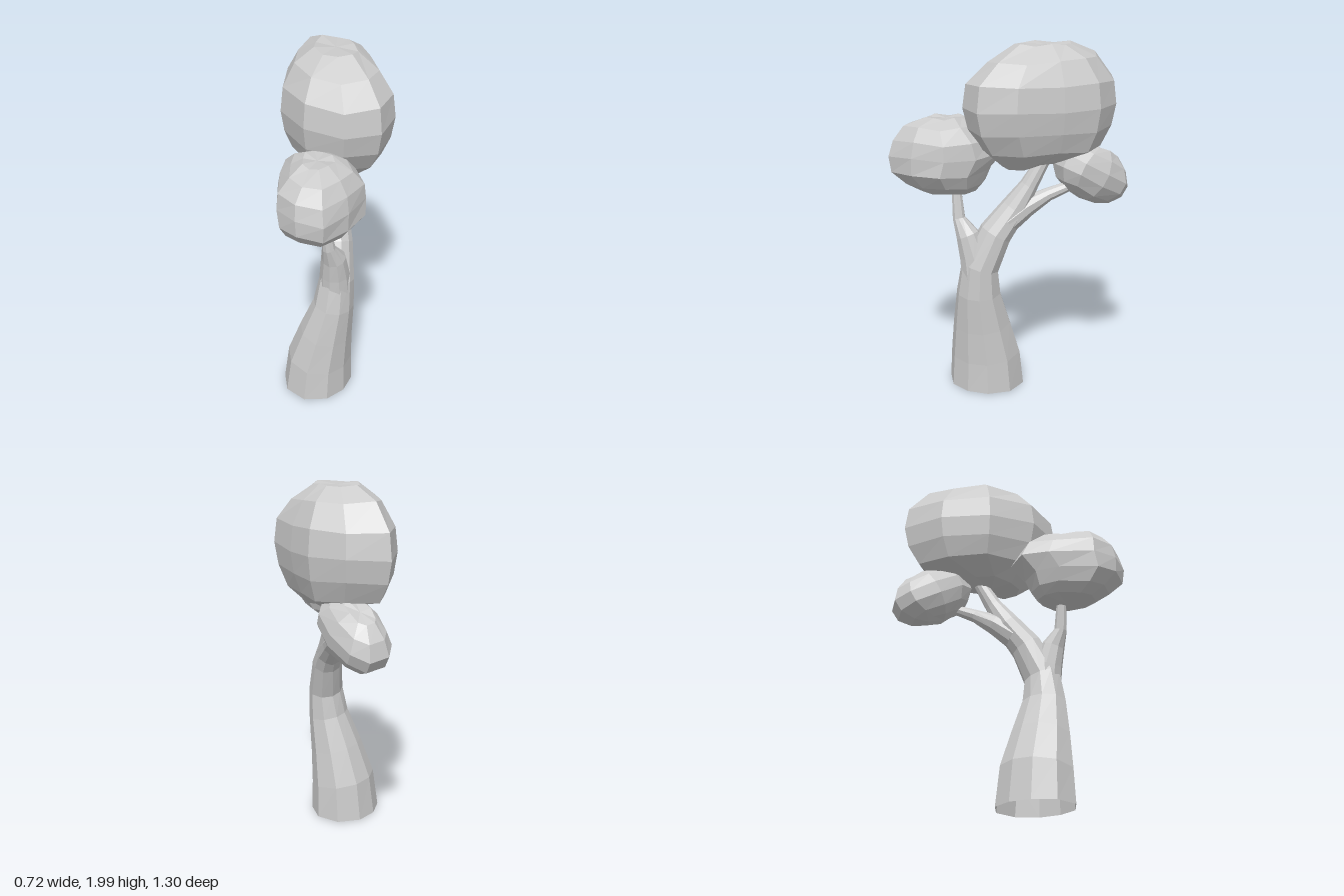
import * as THREE from 'three';

const SIDES = 10;

// Skin a stack of equal-length rings (bottom to top, counter-clockwise from above)
function loft(name, rings, capped) {
  const pos = [], idx = [], n = rings[0].length;
  rings.forEach(ring => ring.forEach(p => pos.push(p.x, p.y, p.z)));
  for (let r = 0; r < rings.length - 1; r++) {
    for (let i = 0; i < n; i++) {
      const a = r * n + i, b = r * n + (i + 1) % n;
      idx.push(a, b, b + n, a, b + n, a + n);
    }
  }
  if (capped) {
    [0, rings.length - 1].forEach((r, end) => {
      const c = new THREE.Vector3();
      rings[r].forEach(p => c.addScaledVector(p, 1 / n));
      const k = pos.length / 3;
      pos.push(c.x, c.y + (end ? -0.005 : -0.015), c.z);
      for (let i = 0; i < n; i++) {
        const a = r * n + i, b = r * n + (i + 1) % n;
        if (end) idx.push(k, a, b); else idx.push(k, b, a);
      }
    });
  }
  const geo = new THREE.BufferGeometry();
  geo.setAttribute('position', new THREE.Float32BufferAttribute(pos, 3));
  geo.setIndex(idx);
  geo.computeVertexNormals();
  const mesh = new THREE.Mesh(geo, new THREE.MeshStandardMaterial({
    color: 0xcccccc, flatShading: true, side: THREE.DoubleSide,
  }));
  mesh.name = name;
  return mesh;
}

// Tapered limb through [x, y, z, radius] stations, rings square to the path;
// skew stretches the section along one diagonal
function limb(name, stations, skew = 0) {
  const pts = stations.map(s => new THREE.Vector3(s[0], s[1], s[2]));
  const rings = stations.map((s, i) => {
    const t = pts[Math.min(i + 1, pts.length - 1)].clone().sub(pts[Math.max(i - 1, 0)]).normalize();
    if (s[1] === 0) t.set(0, 1, 0);
    const u = new THREE.Vector3(1, 0, 0).addScaledVector(t, -t.x).normalize();
    const v = t.clone().cross(u);
    return Array.from({ length: SIDES }, (_, k) => {
      const a = (k + 0.5) / SIDES * Math.PI * 2;
      const r = s[3] * (1 + skew * Math.sin(2 * a));
      return pts[i].clone().addScaledVector(u, Math.cos(a) * r).addScaledVector(v, Math.sin(a) * r);
    });
  });
  return loft(name, rings, false);
}

// Leaf clump: an outline [x, z] scaled about a centre at each
// [y, scaleX, scaleZ, shiftZ, tilt] level
function clump(name, outline, [cx, cz], levels) {
  const rings = levels.map(([y, sx, sz, dz = 0, tilt = 0]) => outline.map(([x, z], i) => {
    const lz = (z - cz) * sz;
    const wobble = 0.006 * Math.sin(i * 2.4 + y * 9);
    return new THREE.Vector3(cx + (x - cx) * sx, y + tilt * lz + wobble, cz + lz + dz);
  }));
  return loft(name, rings, true);
}

export function createModel() {
  const tree = new THREE.Group();
  tree.name = 'tree';

  // Trunk leaning back into the upper stem
  tree.add(limb('trunk', [
    [-0.08, 0, 0.13, 0.21], [-0.07, 0.2, 0.14, 0.194], [-0.04, 0.4, 0.172, 0.158],
    [-0.004, 0.6, 0.202, 0.12], [0.014, 0.76, 0.198, 0.102], [0.04, 0.95, 0.115, 0.088],
    [0.06, 1.09, 0.01, 0.072], [0.09, 1.22, -0.065, 0.048], [0.13, 1.44, -0.18, 0.03],
  ], 0.07));
  // Forks
  tree.add(limb('frontBranch', [
    [0.005, 0.68, 0.21, 0.092], [-0.005, 0.82, 0.228, 0.082], [-0.02, 0.94, 0.258, 0.066],
    [-0.058, 1.03, 0.294, 0.036], [-0.09, 1.26, 0.3, 0.024],
  ]));
  tree.add(limb('backBranch', [
    [0.055, 1.02, 0.05, 0.075], [0.08, 1.1, -0.06, 0.06],
    [0.12, 1.165, -0.17, 0.038], [0.17, 1.24, -0.36, 0.022],
  ]));

  // Large top foliage
  tree.add(clump('topFoliage', [
    [-0.12, -0.41], [-0.21, -0.14], [-0.15, 0.13], [0.02, 0.29], [0.22, 0.28],
    [0.35, 0.11], [0.36, -0.15], [0.35, -0.36], [0.22, -0.52], [0.02, -0.61],
  ], [0.09, -0.16], [
    [1.35, 0.42, 0.38, 0.07, -0.12], [1.43, 0.8, 0.79], [1.54, 0.94, 0.94], [1.66, 1, 1],
    [1.79, 0.95, 0.96], [1.91, 0.73, 0.7, 0, -0.04], [1.985, 0.38, 0.36, 0.01],
  ]));

  // Lower front foliage
  tree.add(clump('frontFoliage', [
    [-0.36, 0.41], [-0.3, 0.56], [-0.18, 0.65], [-0.03, 0.56], [0.1, 0.41],
    [0.1, 0.22], [0.02, 0.05], [-0.1, -0.04], [-0.24, 0], [-0.3, 0.15],
  ], [-0.13, 0.31], [
    [1.18, 0.55, 0.47, 0.01], [1.225, 0.8, 0.64, 0.03], [1.3, 0.97, 0.8, 0.055], [1.39, 1, 0.94, 0.02],
    [1.475, 0.96, 0.83, 0.03], [1.55, 0.7, 0.6, 0.05], [1.59, 0.36, 0.3, 0.03],
  ]));

  // Small back foliage, tipped down toward the rear
  const blunt = c => Math.sign(c) * Math.abs(c) ** 0.85;
  const oval = Array.from({ length: SIDES }, (_, k) => {
    const a = k / SIDES * Math.PI * 2;
    return [0.15 * blunt(Math.cos(a)), -0.25 * blunt(Math.sin(a))];
  });
  const back = clump('backFoliage', oval, [0, 0], [
    [-0.14, 0.42, 0.42], [-0.105, 0.76, 0.74], [-0.04, 0.98, 0.97], [0.03, 1, 0.99],
    [0.1, 0.78, 0.76], [0.15, 0.42, 0.42],
  ]);
  back.position.set(0.132, 1.265, -0.425);
  back.rotation.set(-0.5, 0.15, 0);
  tree.add(back);

  return tree;
}
